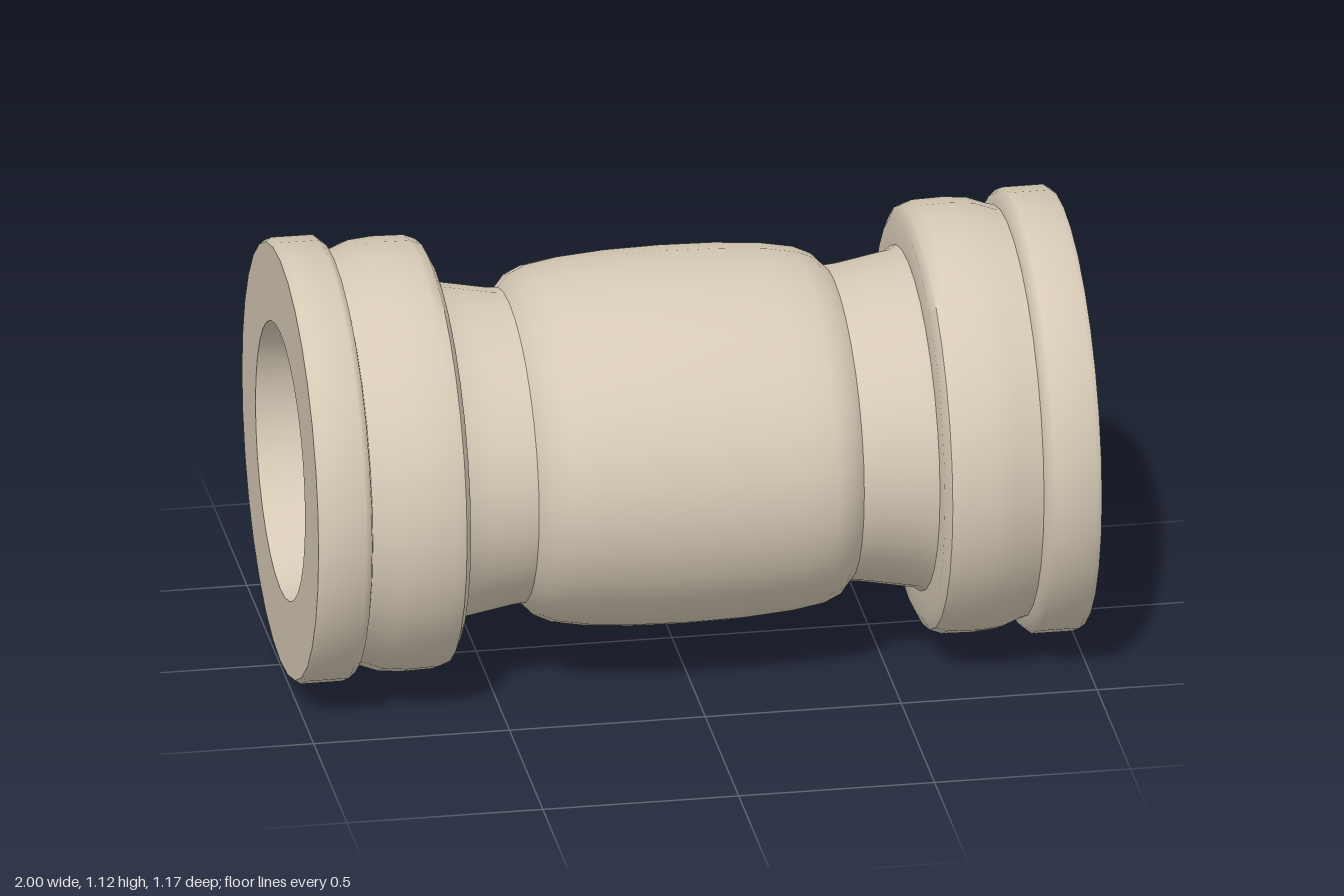
import * as THREE from 'three';
import { toCreasedNormals } from 'three/addons/utils/BufferGeometryUtils.js';

const SEGMENTS = 32;

// Oval tube surface along x; every profile entry is [x, vertical radius, depth radius].
function ovalLathe(profile) {
  const geo = new THREE.LatheGeometry(profile.map(([x, ry]) => new THREE.Vector2(ry, x)), SEGMENTS);
  geo.rotateZ(-Math.PI / 2);
  const pos = geo.attributes.position;
  for (let i = 0; i < pos.count; i++) {
    const [, ry, rz] = profile[i % profile.length];
    pos.setZ(i, pos.getZ(i) * rz / ry);
  }
  return toCreasedNormals(geo, 0.75);
}

// Mirror a right-hand profile to the left, keeping the outward winding.
const mirrored = (profile) => profile.map(([x, ry, rz]) => [-x, ry, rz]).reverse();

export function createModel() {
  const group = new THREE.Group();
  const stone = new THREE.MeshStandardMaterial({ color: 0xd6cab6 });
  stone.name = 'warm beige';
  const add = (name, profile) => {
    const mesh = new THREE.Mesh(ovalLathe(profile), stone);
    mesh.name = name;
    mesh.position.y = 0.56;
    group.add(mesh);
  };

  // Swelling barrel with a narrow neck at each side
  const halfBody = [
    [0.0, 0.468, 0.53], [0.14, 0.465, 0.527], [0.26, 0.455, 0.52], [0.34, 0.44, 0.511],
    [0.385, 0.42, 0.49], [0.415, 0.39, 0.447], [0.45, 0.393, 0.45], [0.53, 0.408, 0.462],
    [0.585, 0.418, 0.47], [0.61, 0.435, 0.485],
  ];
  add('barrel', [...mirrored(halfBody.slice(1)), ...halfBody]);

  // Rounded collar next to each neck
  const collar = [
    [0.602, 0.42, 0.47], [0.605, 0.5, 0.54], [0.62, 0.53, 0.57], [0.65, 0.542, 0.578],
    [0.73, 0.543, 0.586], [0.79, 0.538, 0.575], [0.84, 0.52, 0.55], [0.87, 0.515, 0.545],
  ];
  // Flat end ring with its open annular face
  const endRing = [
    [0.855, 0.51, 0.54], [0.862, 0.545, 0.57], [0.88, 0.56, 0.583], [0.985, 0.56, 0.585],
    [1.0, 0.55, 0.575], [1.0, 0.352, 0.372],
  ];
  add('leftCollar', collar);
  add('rightCollar', mirrored(collar));
  add('leftEndRing', endRing);
  add('rightEndRing', mirrored(endRing));

  // Through bore, slightly waisted, facing inward
  const halfBore = [[1, 0.352, 0.372], [0.9, 0.335, 0.362], [0.6, 0.31, 0.35], [0.3, 0.295, 0.343]];
  add('bore', [...halfBore, [0, 0.29, 0.34], ...mirrored(halfBore)]);

  return group;
}
